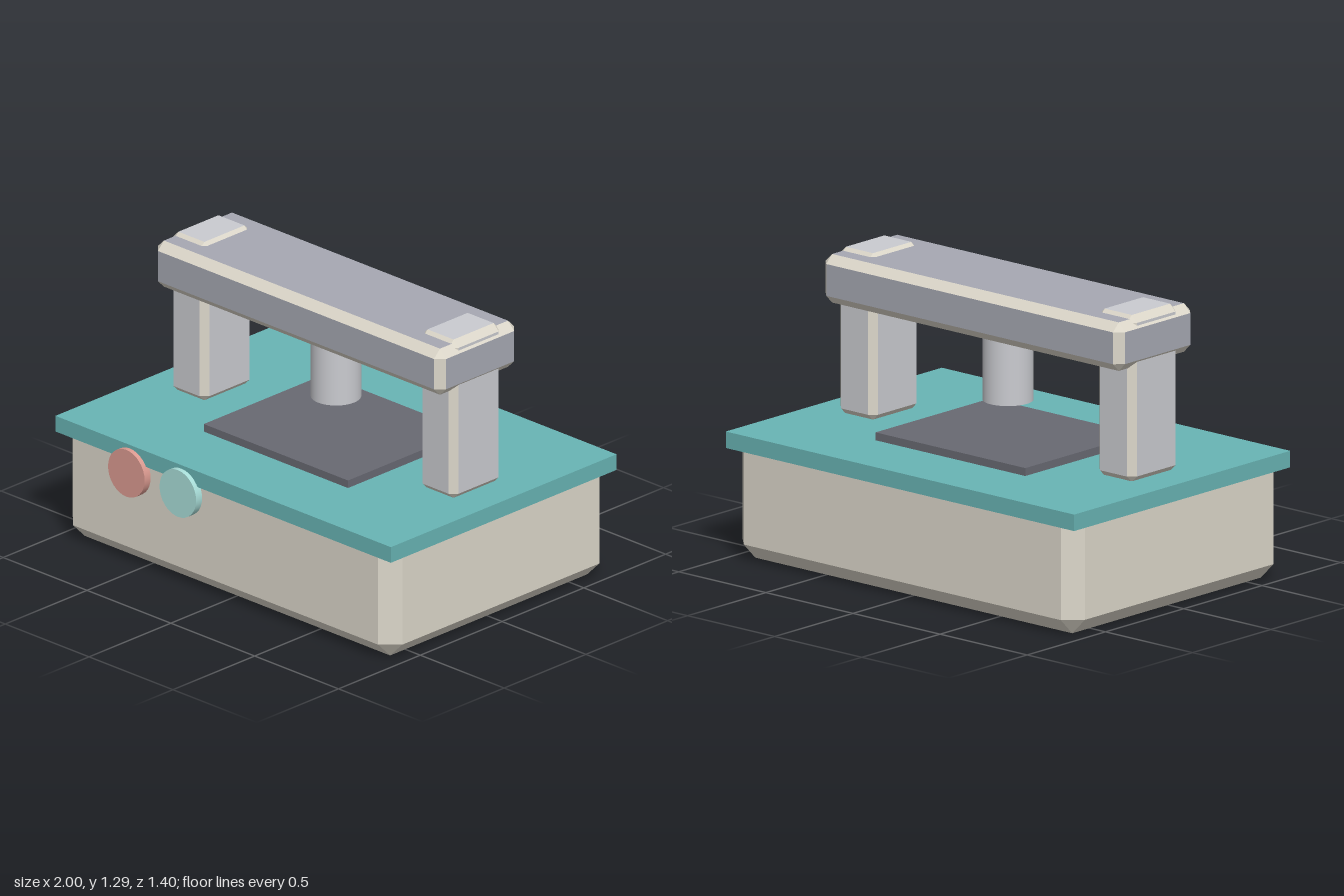
import * as THREE from 'three';

const mat = (color, flatShading = true) => new THREE.MeshStandardMaterial({ color, flatShading });
const CREAM = 0xdcd7ca, TEAL = 0x68b4b4, STEEL = 0xa6a8b2, LIGHT = 0xcacbd0, DARK = 0x686972;
const ZC = -0.01; // shared depth centre of the body

// Builds outward-facing triangles from convex polygons around the origin
function polysToGeometry(polys) {
  const pos = [];
  for (const p of polys) {
    for (let i = 1; i < p.length - 1; i++) {
      let [a, b, c] = [p[0], p[i], p[i + 1]];
      const n = b.clone().sub(a).cross(c.clone().sub(a));
      if (n.dot(a) < 0) [b, c] = [c, b];
      for (const v of [a, b, c]) pos.push(v.x, v.y, v.z);
    }
  }
  const g = new THREE.BufferGeometry();
  g.setAttribute('position', new THREE.Float32BufferAttribute(pos, 3));
  g.computeVertexNormals();
  return g;
}

// Box with 45 degree chamfers; flat faces and chamfers can differ in color
function chamferBox(name, size, c, faceColor, edgeColor) {
  const half = size.map((s) => s / 2);
  // Corner point lying on the flat face of the given axis
  const point = (axis, signs) =>
    new THREE.Vector3(...half.map((h, i) => signs[i] * (i === axis ? h : h - c)));
  const signSet = (a, sa, b, sb, k, sk) => {
    const s = [0, 0, 0];
    s[a] = sa; s[b] = sb; s[k] = sk;
    return s;
  };
  const faces = [], edges = [];
  for (let a = 0; a < 3; a++) {
    const b = (a + 1) % 3, k = (a + 2) % 3;
    for (const s of [-1, 1]) {
      faces.push([[-1, -1], [1, -1], [1, 1], [-1, 1]].map(([u, v]) => point(a, signSet(a, s, b, u, k, v))));
      for (const t of [-1, 1]) {
        const lo = signSet(a, s, b, t, k, -1), hi = signSet(a, s, b, t, k, 1);
        edges.push([point(a, lo), point(a, hi), point(b, hi), point(b, lo)]);
      }
    }
  }
  for (const x of [-1, 1]) for (const y of [-1, 1]) for (const z of [-1, 1])
    edges.push([0, 1, 2].map((a) => point(a, [x, y, z])));

  const group = new THREE.Group();
  group.name = name;
  const flat = new THREE.Mesh(polysToGeometry(faces), mat(faceColor));
  flat.name = name + 'Faces';
  const bevel = new THREE.Mesh(polysToGeometry(edges), mat(edgeColor));
  bevel.name = name + 'Chamfers';
  group.add(flat, bevel);
  return group;
}

export function createModel() {
  const model = new THREE.Group();
  model.name = 'press';
  const place = (obj, x, y, z, name = obj.name) => {
    obj.position.set(x, y, z);
    obj.name = name;
    model.add(obj);
    return obj;
  };
  const box = (w, h, d, color) => new THREE.Mesh(new THREE.BoxGeometry(w, h, d), mat(color));
  const cylinder = (r, h, color) =>
    new THREE.Mesh(new THREE.CylinderGeometry(r, r, h, 32), mat(color, false));

  // Base and overhanging table top
  place(chamferBox('base', [1.966, 0.558, 1.35], 0.073, CREAM, CREAM), 0, 0.279, ZC);
  place(box(2, 0.073, 1.38, TEAL), 0, 0.5235, ZC, 'tableTop');

  // Work plate under the ram
  place(box(0.86, 0.045, 0.735, DARK), 0, 0.5725, ZC, 'workPlate');

  // Posts, passing up through the crossbar
  for (const [side, name] of [[1, 'leftPost'], [-1, 'rightPost']])
    place(chamferBox(name, [0.215, 0.74, 0.305], 0.03, LIGHT, CREAM), side * 0.743, 0.925, ZC);

  // Crossbar and ram
  place(chamferBox('crossbar', [1.72, 0.215, 0.49], 0.037, STEEL, CREAM), 0, 1.1725, ZC);
  place(cylinder(0.109, 0.4, LIGHT), 0, 0.945, ZC, 'ram');

  // Front buttons
  for (const [x, color, name] of [[-0.556, 0xdc9b91, 'redButton'], [-0.249, 0xa9ded9, 'mintButton']])
    place(cylinder(0.109, 0.04, color), x, 0.435, 0.682, name).rotation.x = Math.PI / 2;

  return model;
}
